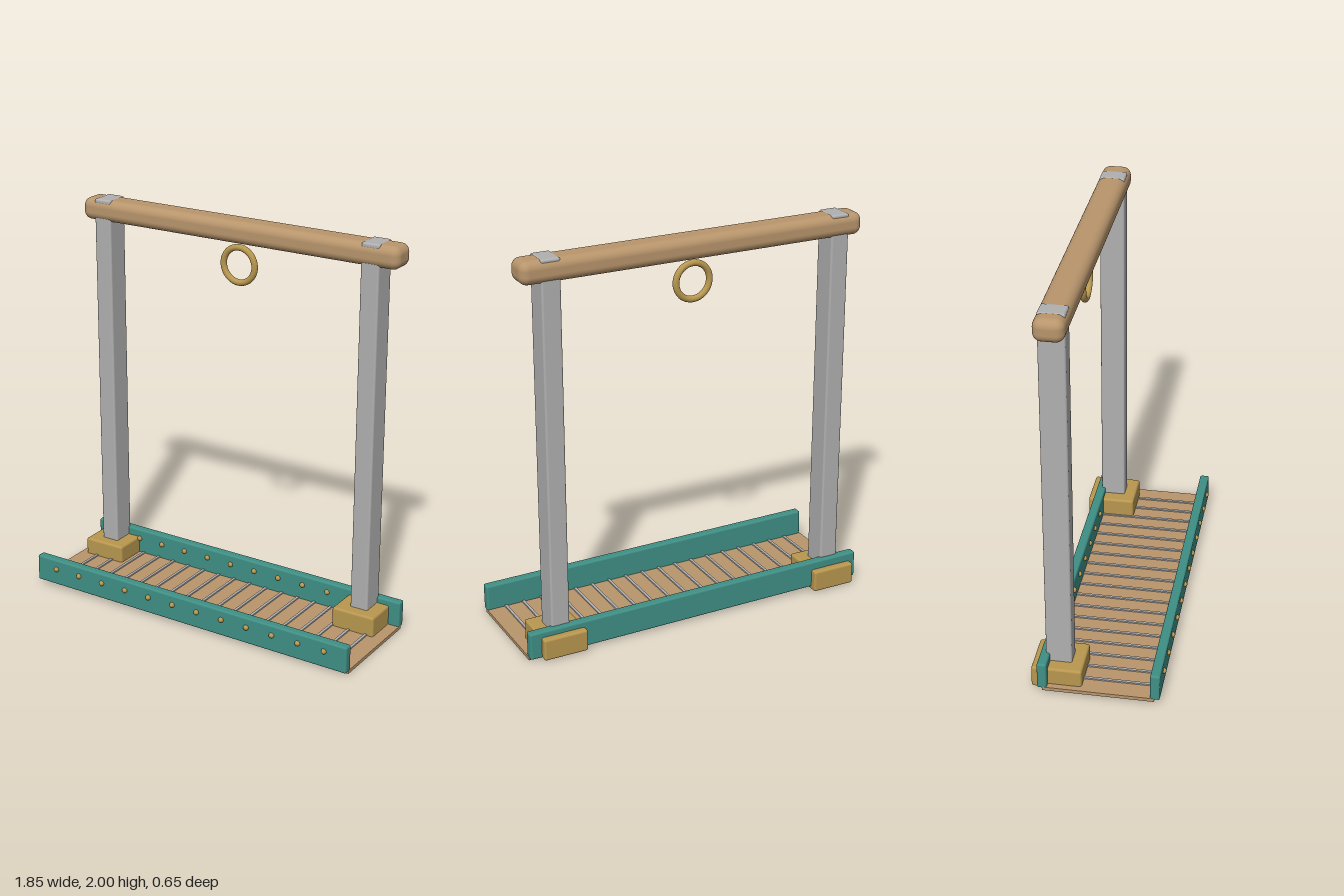
import * as THREE from 'three';
import { RoundedBoxGeometry } from 'three/addons/geometries/RoundedBoxGeometry.js';

const paint = (name, color) => {
  const m = new THREE.MeshStandardMaterial({ color });
  m.name = name;
  return m;
};

export function createModel() {
  const wood = paint('wood', 0xb8956c);
  const steel = paint('steel', 0xb0b0b0);
  const teal = paint('teal', 0x3f8f85);
  const brass = paint('brass', 0xb8974f);

  const model = new THREE.Group();
  model.name = 'hangingFrame';

  const add = (parent, name, geometry, material, x, y, z) => {
    const mesh = new THREE.Mesh(geometry, material);
    mesh.name = name;
    mesh.position.set(x, y, z);
    parent.add(mesh);
    return mesh;
  };
  // Rounded box given by its lower and upper limits
  const block = (parent, name, material, [x0, x1], [y0, y1], [z0, z1], radius) =>
    add(parent, name, new RoundedBoxGeometry(x1 - x0, y1 - y0, z1 - z0, 4, radius), material,
      (x0 + x1) / 2, (y0 + y1) / 2, (z0 + z1) / 2);

  // Top beam
  block(model, 'topBeam', wood, [-0.897, 0.897], [1.885, 1.998], [-0.274, -0.128], 0.042);

  // Posts run through the beam and stand in foot blocks
  for (const [side, x, footX] of [['right', -0.774, -0.774], ['left', 0.749, 0.747]]) {
    block(model, side + 'Post', steel, [x - 0.048, x + 0.048], [0.007, 2], [-0.263, -0.136], 0.01);
    block(model, side + 'Foot', brass, [footX - 0.116, footX + 0.116], [0.008, 0.122], [-0.324, -0.077], 0.012);
  }

  // Ring below the beam
  add(model, 'ring', new THREE.TorusGeometry(0.089, 0.016, 16, 48), brass, 0, 1.765, -0.2);

  // Tray: slightly tilted deck with two side rails
  const tray = new THREE.Group();
  tray.name = 'tray';
  tray.rotation.z = -0.0085;
  model.add(tray);

  add(tray, 'deck', new THREE.BoxGeometry(1.845, 0.018, 0.545), wood, 0, 0.018, 0.008);
  block(tray, 'frontRail', teal, [-0.922, 0.922], [0.019, 0.159], [0.26, 0.308], 0.01);
  block(tray, 'backRail', teal, [-0.922, 0.922], [0.019, 0.159], [-0.29, -0.243], 0.01);

  // Cross strips on the deck
  const strip = new THREE.BoxGeometry(0.014, 0.008, 0.51);
  for (let i = 0; i < 18; i++) {
    add(tray, 'crossStrip', strip, steel, -0.82 + i * 0.0967, 0.03, 0.008);
  }

  // Rivets along the front faces of both rails
  const rivet = new THREE.SphereGeometry(0.014, 16, 12);
  for (let i = 0; i < 12; i++) {
    const x = -0.8 + i * 0.1455;
    add(tray, 'frontRivet', rivet, brass, x, 0.107, 0.309);
    add(tray, 'backRivet', rivet, brass, x, 0.107, -0.243);
  }

  return model;
}
